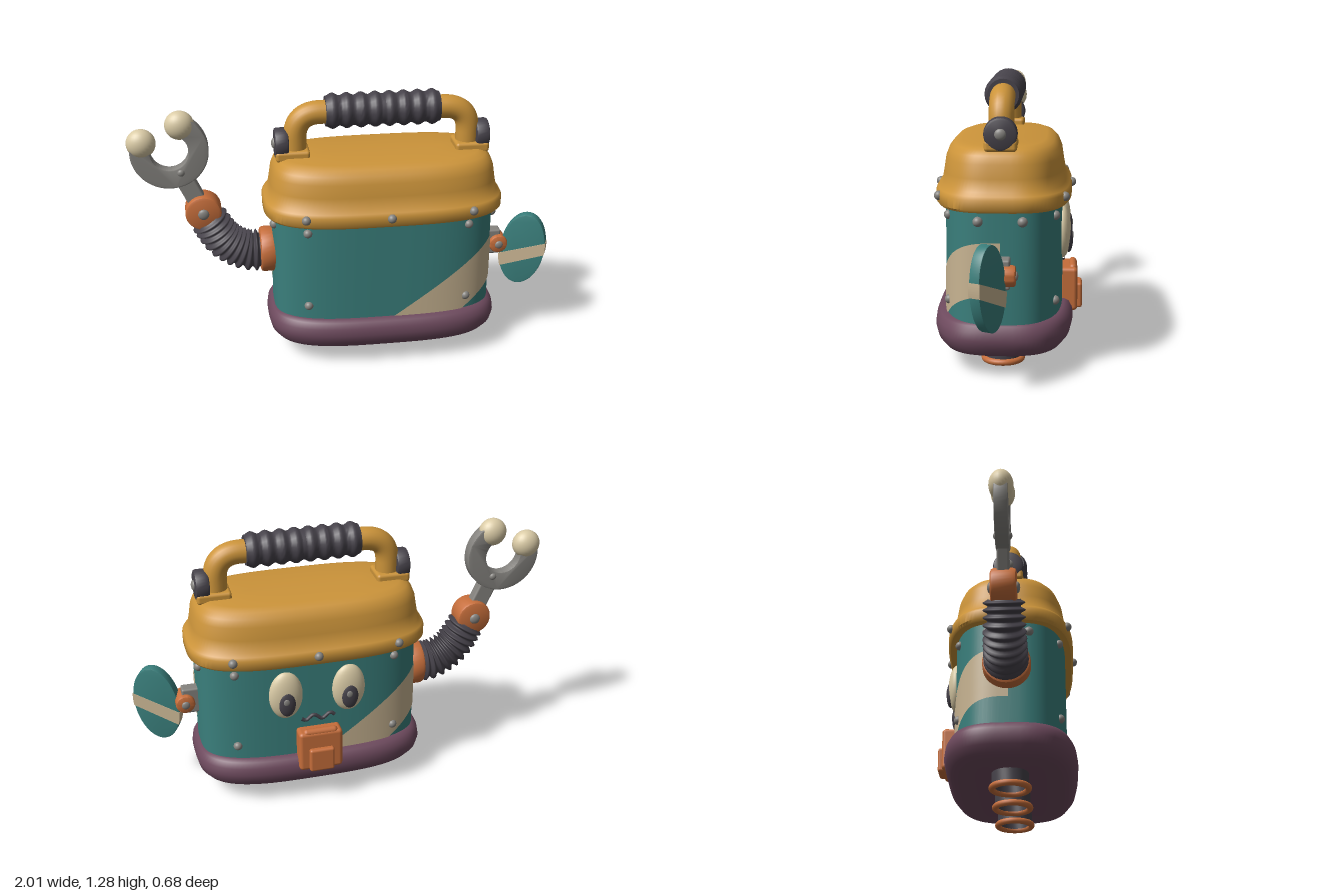
import * as THREE from 'three';
import { toCreasedNormals } from 'three/addons/utils/BufferGeometryUtils.js';
import { RoundedBoxGeometry } from 'three/addons/geometries/RoundedBoxGeometry.js';

const paint = (name, color) => {
  const m = new THREE.MeshStandardMaterial({ color });
  m.name = name;
  return m;
};
const yellow = paint('ochre', 0xcc943a), teal = paint('teal', 0x3a7f7c), plum = paint('plum', 0x6e4a5e);
const rubber = paint('rubber', 0x46424a), copper = paint('copper', 0xc66e3b), steel = paint('steel', 0x85837f);
const cream = paint('cream', 0xdacba6), sand = paint('sand', 0xc8b492);

const N = 3.2, SEG = 96; // superellipse exponent and sides of the case
const V = (x, y, z = 0) => new THREE.Vector3(x, y, z);

function add(parent, name, geo, mat, pos = [0, 0, 0], rot = [0, 0, 0], scale = [1, 1, 1]) {
  const m = new THREE.Mesh(geo, mat);
  m.name = name;
  m.position.set(...pos);
  m.rotation.set(...rot);
  m.scale.set(...scale);
  parent.add(m);
  return m;
}

// Surface from fn(u, v): u runs round, v runs up
function grid(nu, nv, fn, closed) {
  const pos = [], idx = [], cols = closed ? nu : nu + 1;
  for (let j = 0; j <= nv; j++)
    for (let i = 0; i < cols; i++) pos.push(...fn(i / nu, j / nv));
  for (let j = 0; j < nv; j++)
    for (let i = 0; i < nu; i++) {
      const k = (i + 1) % cols, a = j * cols + i, b = j * cols + k;
      idx.push(a, a + cols, b, b, a + cols, b + cols);
    }
  const g = new THREE.BufferGeometry();
  g.setAttribute('position', new THREE.Float32BufferAttribute(pos, 3));
  g.setIndex(idx);
  g.computeVertexNormals();
  return g;
}

const pw = c => Math.sign(c) * Math.abs(c) ** (2 / N);
const oval = (hw, hd, y, t) => [hw * pw(Math.cos(t)), y, hd * pw(Math.sin(t))];

// Stacked rounded outlines; profile holds [halfWidth, y]
function loft(profile, diff) {
  return toCreasedNormals(grid(SEG, profile.length - 1, (u, v) => {
    const [hw, y] = profile[Math.round(v * (profile.length - 1))];
    return oval(hw, Math.max(0, hw - diff), y, u * Math.PI * 2);
  }, true), 0.75);
}

function extrude(shape, depth, bevel) {
  const g = new THREE.ExtrudeGeometry(shape, {
    depth: depth - 2 * bevel, bevelEnabled: bevel > 0, bevelSize: bevel, bevelThickness: bevel,
    bevelOffset: -bevel, bevelSegments: 2, curveSegments: 40 });
  g.translate(0, 0, -depth / 2 + bevel);
  return toCreasedNormals(g, 0.6);
}

const ball = new THREE.SphereGeometry(1, 28, 18);
const dot = (parent, name, mat, pos, s) => add(parent, name, ball, mat, pos, [0, 0, 0], s.length ? s : [s, s, s]);
const disc = (r, h) => new THREE.CylinderGeometry(r, r, h, 32);
const roundDisc = (r, h, b) => new THREE.LatheGeometry(
  [[0, -h / 2], [r - b, -h / 2], [r - b * 0.3, -h / 2 + b * 0.3], [r, -h / 2 + b], [r, h / 2 - b],
    [r - b * 0.3, h / 2 - b * 0.3], [r - b, h / 2], [0, h / 2]].map(p => new THREE.Vector2(...p)), 32);
const Q = Math.PI / 2;

function buildCase(core) {
  add(core, 'body', loft([[0.53, 0.2], [0.53, 0.76]], 0.265), teal);
  add(core, 'base', loft([[0, 0.085], [0.49, 0.085], [0.525, 0.098], [0.55, 0.13], [0.56, 0.17],
    [0.555, 0.205], [0.54, 0.232], [0.52, 0.242], [0.26, 0.242]], 0.245), plum);
  add(core, 'lid', loft([[0.48, 0.73], [0.56, 0.73], [0.57, 0.742], [0.57, 0.785], [0.562, 0.8], [0.545, 0.815],
    [0.535, 0.87], [0.526, 0.93], [0.512, 0.965], [0.49, 0.988], [0.455, 1], [0.28, 1], [0, 1]], 0.265), yellow);

  // Diagonal bands, one per long side
  for (const turn of [0, Math.PI]) {
    const band = grid(24, 4, (u, v) => {
      const p = oval(0.534, 0.269, 0, u * Q);
      const low = 0.24 + 0.7 * (p[0] - 0.36);
      p[1] = Math.max(0.15, low + v * 0.235);
      return p;
    }, false);
    add(core, 'diagonalBand', band, sand, [0, 0, 0], [0, turn, 0]);
  }

  // Rivets
  const onSide = (hw, hd, x) => hd * (1 - Math.abs(x / hw) ** N) ** (1 / N);
  for (const s of [-1, 1]) {
    for (const x of [-0.39, 0, 0.39])
      dot(core, 'lidRivet', steel, [x, 0.775, s * onSide(0.57, 0.305, x)], 0.021);
    for (const x of [-0.38, 0.38])
      for (const y of [0.31, 0.69]) dot(core, 'bodyRivet', steel, [x, y, s * onSide(0.53, 0.265, x)], 0.021);
    for (const z of [-0.095, 0.095])
      dot(core, 'endRivet', steel, [s * onSide(0.265, 0.53, z), 0.687, z], 0.022);
  }

  // Hollow feet
  const leg = new THREE.LatheGeometry([[0, 0.06], [0.07, 0.06], [0.07, 0.012], [0.085, 0.012], [0.085, 0.1]]
    .map(p => new THREE.Vector2(...p)), 32);
  for (const x of [-0.285, 0, 0.285]) {
    add(core, 'foot', toCreasedNormals(leg, 0.6), rubber, [x, 0, 0]);
    add(core, 'footRing', new THREE.TorusGeometry(0.084, 0.015, 12, 36), copper, [x, 0.015, 0], [Q, 0, 0]);
  }
}

function buildHandle(core) {
  const path = new THREE.CurvePath();
  const w = 0.41, h = 1.197, r = 0.12;
  path.add(new THREE.LineCurve3(V(-w, 0.99), V(-w, h - r)));
  path.add(new THREE.QuadraticBezierCurve3(V(-w, h - r), V(-w, h), V(-w + r, h)));
  path.add(new THREE.LineCurve3(V(-w + r, h), V(w - r, h)));
  path.add(new THREE.QuadraticBezierCurve3(V(w - r, h), V(w, h), V(w, h - r)));
  path.add(new THREE.LineCurve3(V(w, h - r), V(w, 0.99)));
  add(core, 'handle', new THREE.TubeGeometry(path, 90, 0.055, 20), yellow);

  // Ribbed grip
  const pts = [new THREE.Vector2(0, -0.268)];
  for (let i = 0; i <= 64; i++)
    pts.push(new THREE.Vector2(0.077 - 0.007 * Math.cos(i / 64 * Math.PI * 16), -0.268 + 0.536 * i / 64));
  pts.push(new THREE.Vector2(0, 0.268));
  add(core, 'grip', toCreasedNormals(new THREE.LatheGeometry(pts, 24), 0.9), rubber, [0, 1.2, 0], [0, 0, Q]);

  for (const s of [-1, 1]) {
    add(core, 'handleBracket', new RoundedBoxGeometry(0.16, 0.05, 0.14, 3, 0.015), yellow, [s * 0.425, 1.005, 0]);
    add(core, 'pivotKnob', toCreasedNormals(roundDisc(0.072, 0.065, 0.012), 0.6), rubber, [s * 0.475, 1.055, 0], [0, 0, Q]);
    dot(core, 'pivotBolt', steel, [s * 0.507, 1.055, 0], [0.014, 0.025, 0.025]);
  }
}

function buildFace(core) {
  for (const s of [-1, 1]) {
    dot(core, 'eye', cream, [s * 0.15, 0.57, -0.262], [0.08, 0.122, 0.042]);
    dot(core, 'pupil', rubber, [s * 0.15, 0.54, -0.293], [0.04, 0.066, 0.02]);
    dot(core, 'eyeGlint', steel, [s * 0.15 + 0.005, 0.555, -0.309], [0.015, 0.018, 0.006]);
  }
  const lip = [];
  for (let i = 0; i <= 12; i++) {
    const x = -0.08 + i * 0.16 / 12;
    lip.push(V(x, 0.435 + 0.012 * Math.sin(i / 12 * Math.PI * 4), -0.268));
  }
  add(core, 'mouth', new THREE.TubeGeometry(new THREE.CatmullRomCurve3(lip), 48, 0.009, 8), rubber);

  // Latch
  add(core, 'latch', new RoundedBoxGeometry(0.21, 0.205, 0.085, 3, 0.018), copper, [0, 0.283, -0.293]);
  add(core, 'latchTab', new RoundedBoxGeometry(0.12, 0.12, 0.04, 3, 0.012), copper, [0, 0.243, -0.338]);
  add(core, 'latchHinge', new THREE.CapsuleGeometry(0.018, 0.13, 6, 14), copper, [0, 0.38, -0.314], [0, 0, Q]);
}

function buildClawArm(root) {
  const arm = new THREE.Group();
  arm.name = 'clawArm';
  arm.position.z = 0.015;
  root.add(arm);
  add(arm, 'shoulderRing', toCreasedNormals(roundDisc(0.11, 0.08, 0.015), 0.6), copper, [-0.37, 0.51, 0], [0, 0, Q]);

  // Bellows hose
  const path = new THREE.CatmullRomCurve3([V(-0.38, 0.505), V(-0.48, 0.513), V(-0.575, 0.572), V(-0.65, 0.69)]);
  const hose = grid(28, 88, (u, v) => {
    const c = path.getPointAt(v), t = path.getTangentAt(v), a = u * Math.PI * 2;
    const r = 0.092 - 0.01 * v - 0.011 * Math.cos(v * Math.PI * 22);
    return [c.x + r * Math.cos(a) * t.y, c.y - r * Math.cos(a) * t.x, r * Math.sin(a)];
  }, true);
  add(arm, 'bellows', hose, rubber);

  add(arm, 'wrist', toCreasedNormals(roundDisc(0.085, 0.115, 0.015), 0.6), copper, [-0.67, 0.735, 0], [Q, 0, 0]);
  for (const s of [-1, 1]) {
    dot(arm, 'wristBolt', steel, [-0.67, 0.735, s * 0.058], [0.026, 0.026, 0.014]);
    dot(arm, 'clawBolt', steel, [-0.762, 0.94, s * 0.03], [0.017, 0.017, 0.012]);
  }
  add(arm, 'forearm', new RoundedBoxGeometry(0.085, 0.22, 0.055, 2, 0.01), steel, [-0.722, 0.845, 0], [0, 0, 0.43]);

  // Open ring with padded tips
  const a0 = 162 * Math.PI / 180, a1 = 426 * Math.PI / 180;
  const ring = new THREE.Shape();
  ring.absarc(0, 0, 0.18, a0, a1, false);
  ring.absarc(0, 0, 0.088, a1, a0, true);
  add(arm, 'claw', extrude(ring, 0.06, 0.006), steel, [-0.81, 1.043, 0]);
  for (const a of [a0, a1])
    dot(arm, 'clawTip', cream, [-0.81 + 0.132 * Math.cos(a), 1.043 + 0.132 * Math.sin(a), 0], [0.068, 0.068, 0.054]);
}

function buildPaddle(root) {
  add(root, 'paddleMount', new RoundedBoxGeometry(0.09, 0.13, 0.06, 2, 0.01), steel, [0.74, 0.475, 0.005]);
  add(root, 'paddleHinge', toCreasedNormals(roundDisc(0.046, 0.11, 0.012), 0.6), copper, [0.772, 0.47, 0.005], [Q, 0, 0]);
  for (const z of [-0.05, 0.06]) dot(root, 'hingeBolt', steel, [0.772, 0.47, z], [0.02, 0.02, 0.01]);

  const paddle = new THREE.Group();
  paddle.name = 'paddle';
  paddle.position.set(0.893, 0.447, 0.06);
  paddle.rotation.set(0, -0.45, -0.14);
  root.add(paddle);
  const blade = new THREE.Shape();
  blade.absellipse(0, 0, 0.11, 0.19, 0, Math.PI * 2, false, 0);
  add(paddle, 'paddleBlade', extrude(blade, 0.048, 0.004), teal);
  const band = new THREE.Shape();
  band.absellipse(0, 0, 0.112, 0.192, 0, 0.34, false, 0);
  band.absellipse(0, 0, 0.112, 0.192, Math.PI + 0.27, Math.PI + 0.65, false, 0);
  add(paddle, 'paddleBand', extrude(band, 0.053, 0), sand);
}

export function createModel() {
  const root = new THREE.Group();
  root.name = 'lunchboxRobot';
  const core = new THREE.Group();
  core.name = 'case';
  core.position.set(0.18, 0, 0.02);
  root.add(core);
  buildCase(core);
  buildHandle(core);
  buildFace(core);
  buildClawArm(root);
  buildPaddle(root);
  return root;
}
